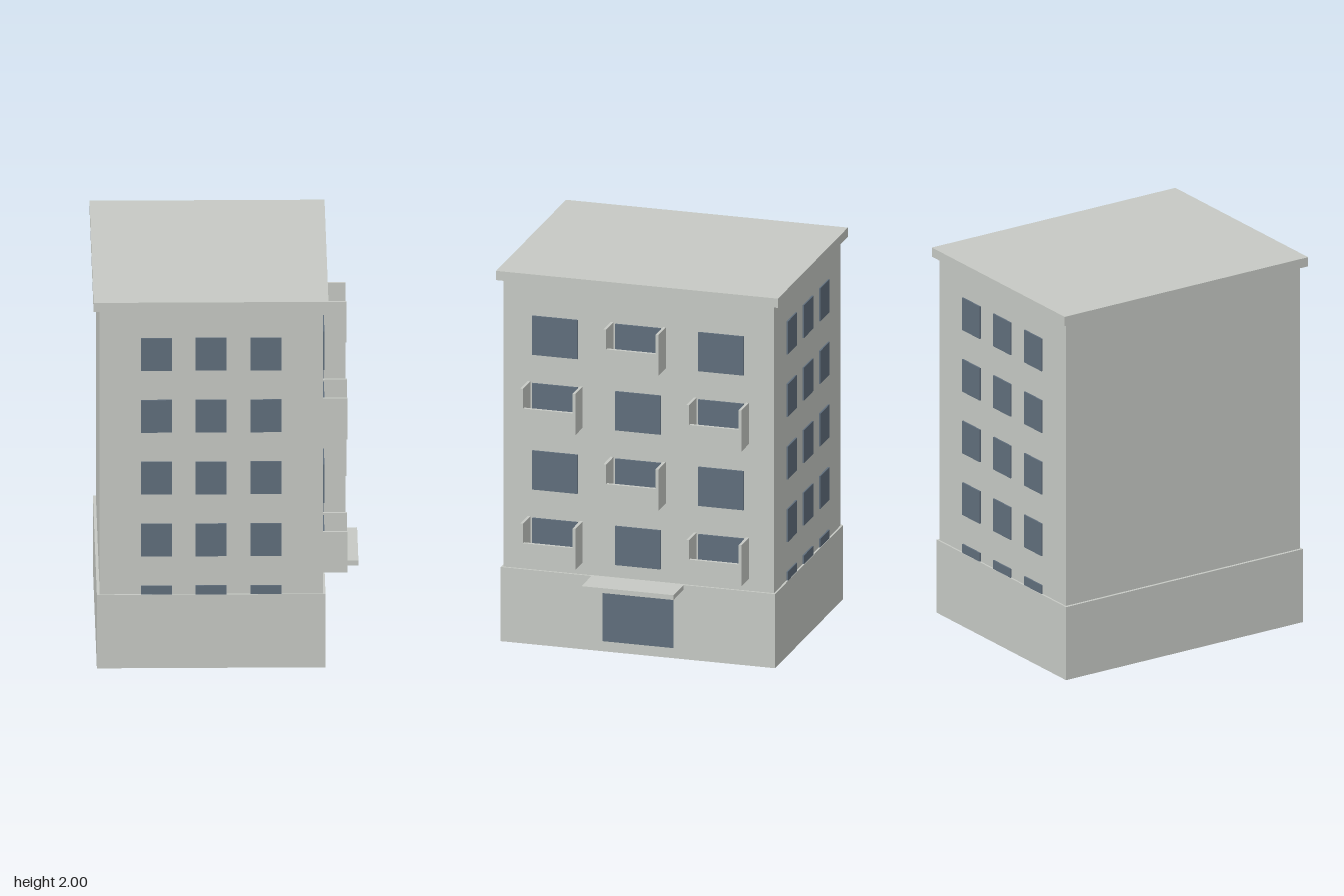
import * as THREE from 'three';

const wall = new THREE.MeshStandardMaterial({ name: 'wall grey', color: 0xc6c9c4 });
const glass = new THREE.MeshStandardMaterial({ name: 'window blue', color: 0x606e7c });

// Box given by its min and max corners
function box(parent, name, material, [x0, y0, z0], [x1, y1, z1]) {
  const mesh = new THREE.Mesh(new THREE.BoxGeometry(x1 - x0, y1 - y0, z1 - z0), material);
  mesh.position.set((x0 + x1) / 2, (y0 + y1) / 2, (z0 + z1) / 2);
  mesh.name = name;
  parent.add(mesh);
}

const FACE = 0.493; // facade with the balconies
const SIDE = 0.725; // half depth of the upper floors

// Open-topped balcony: floor, low parapet and two tall side screens
function balcony(y, z) {
  const group = new THREE.Group();
  group.name = 'balcony';
  const out = 0.62, half = 0.1475, t = 0.015;
  box(group, 'balconyFloor', wall, [FACE, y, z - half + t], [out, y + 0.015, z + half - t]);
  box(group, 'balconyParapet', wall, [out - 0.018, y + 0.015, z - half + t], [out, y + 0.116, z + half - t]);
  for (const s of [-1, 1]) {
    const a = z + s * half, b = z + s * (half - t);
    box(group, 'balconyScreen', wall, [FACE, y, Math.min(a, b)], [out, y + 0.222, Math.max(a, b)]);
  }
  return group;
}

export function createModel() {
  const model = new THREE.Group();
  model.name = 'apartmentBlock';

  // Main masses
  box(model, 'groundFloor', wall, [-0.665, 0, -0.735], [0.505, 0.4, 0.735]);
  box(model, 'upperFloors', wall, [-0.65, 0.4, -SIDE], [FACE, 1.95, SIDE]);
  box(model, 'roofSlab', wall, [-0.682, 1.95, -0.755], [0.52, 2, 0.755]);

  // Small windows on the front and back walls; the lowest row is cut by the ground floor
  for (let row = 0; row < 5; row++) {
    const top = 1.797 - row * 0.3375;
    const bottom = Math.max(top - 0.177, 0.4);
    for (const x of [-0.36, -0.08, 0.2]) {
      box(model, 'frontWindow', glass, [x - 0.079, bottom, SIDE], [x + 0.079, top, SIDE + 0.008]);
      box(model, 'backWindow', glass, [x - 0.079, bottom, -SIDE - 0.008], [x + 0.079, top, -SIDE]);
    }
  }

  // Large windows on the right wall, with balconies in a checkered pattern
  for (let row = 0; row < 4; row++) {
    const y = 1.56 - row * 0.3633;
    [0.447, 0.002, -0.443].forEach((z, column) => {
      box(model, 'balconyWindow', glass, [FACE, y, z - 0.121], [FACE + 0.009, y + 0.21, z + 0.121]);
      if ((row + column) % 2 === 1) model.add(balcony(y - 0.006, z));
    });
  }

  // Entrance
  box(model, 'entranceDoor', glass, [0.503, 0.055, -0.19], [0.507, 0.35, 0.19]);
  box(model, 'entranceCanopy', wall, [FACE, 0.375, -0.245], [0.68, 0.401, 0.248]);

  return model;
}
